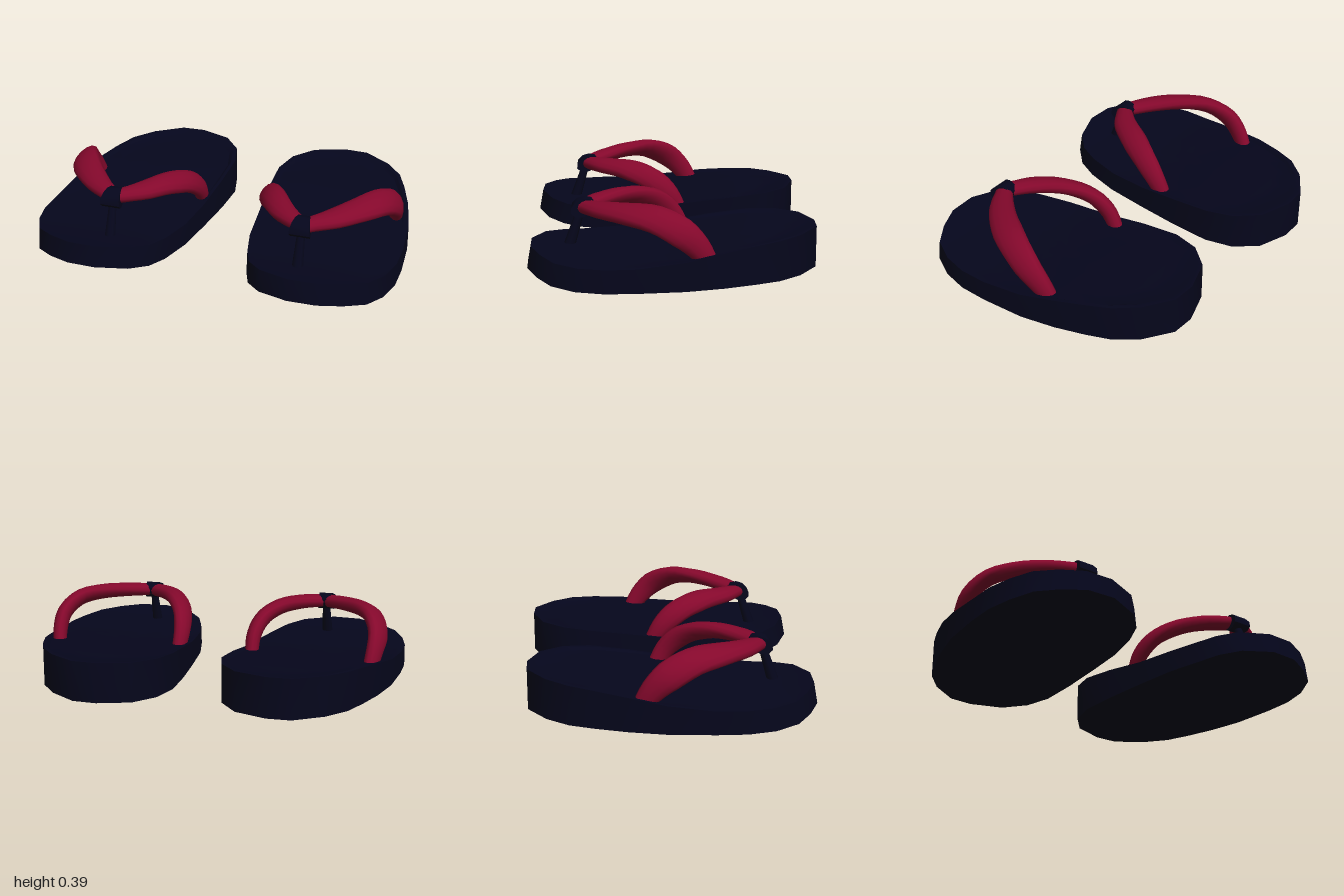
import * as THREE from 'three';
import { toCreasedNormals } from 'three/addons/utils/BufferGeometryUtils.js';

const V = (x, y, z) => new THREE.Vector3(x, y, z);

// Skin a list of closed rings (arrays of Vector3) into one surface
function loft(rings) {
  const n = rings[0].length, pos = [], idx = [];
  rings.forEach(r => r.forEach(p => pos.push(p.x, p.y, p.z)));
  for (let i = 0; i < rings.length - 1; i++) {
    for (let j = 0; j < n; j++) {
      const k = (j + 1) % n;
      const a = i * n + j, b = i * n + k, c = a + n, d = b + n;
      idx.push(a, b, c, b, d, c);
    }
  }
  const g = new THREE.BufferGeometry();
  g.setAttribute('position', new THREE.Float32BufferAttribute(pos, 3));
  g.setIndex(idx);
  g.computeVertexNormals();
  return g;
}

// Mirror across x = 0, restoring the corner order
function mirrored(geometry) {
  const g = geometry.index ? geometry.toNonIndexed() : geometry.clone();
  g.scale(-1, 1, 1);
  for (const name of ['position', 'normal']) {
    const a = g.attributes[name].array;
    for (let i = 0; i < a.length; i += 9) {
      for (let k = 3; k < 6; k++) [a[i + k], a[i + k + 3]] = [a[i + k + 3], a[i + k]];
    }
  }
  return g;
}

// Piecewise linear lookup in [position, value] pairs
function lookup(table, z) {
  if (z <= table[0][0]) return table[0][1];
  for (let i = 1; i < table.length; i++) {
    const [z0, v0] = table[i - 1], [z1, v1] = table[i];
    if (z <= z1) return v0 + (v1 - v0) * (z - z0) / (z1 - z0);
  }
  return table[table.length - 1][1];
}

// Sole outline seen from above, as [x, z]
const OUTLINE = [
  [0.58, -0.745], [0.45, -0.75], [0.275, -0.69], [0.175, -0.57], [0.135, -0.42], [0.14, -0.2],
  [0.16, 0.05], [0.185, 0.29], [0.23, 0.475], [0.275, 0.59], [0.36, 0.68], [0.527, 0.745],
  [0.68, 0.74], [0.805, 0.685], [0.91, 0.61], [0.97, 0.49], [1, 0.35], [1, 0.19],
  [0.98, -0.05], [0.935, -0.24], [0.88, -0.4], [0.825, -0.53], [0.73, -0.645],
];
const TOP = [[-0.75, 0.217], [-0.5, 0.207], [-0.3, 0.188], [-0.15, 0.165], [0, 0.14],
  [0.2, 0.122], [0.45, 0.12], [0.58, 0.13], [0.73, 0.155]];
const topY = z => lookup(TOP, z);
const bottomY = z => 0.042 * Math.max(0, (z - 0.4) / 0.35) ** 2;

function soleGeometry() {
  const ring = (scale, height, toe = 1) => OUTLINE.map(([x, z]) => {
    const zz = z * scale * (z > 0 ? toe : 1);
    return V(0.56 + (x - 0.56) * scale, height(zz), zz);
  });
  // footbed dips inside a low rim toward the heel
  const bed = z => topY(z) - 0.014 * THREE.MathUtils.clamp((0.1 - z) / 0.4, 0, 1);
  const rings = [0, 0.4, 0.7, 0.85, 1].map(s => ring(s, bottomY));
  rings.push(ring(1, topY, 0.972), ring(0.955, topY, 0.972));
  [0.92, 0.75, 0.55, 0.35, 0.15, 0].forEach(s => rings.push(ring(s, bed)));
  return toCreasedNormals(loft(rings), 0.6);
}

// Padded strap: oval section along a curve, its front edge rolling down toward the sole
function strapGeometry(points, widths, widthStart, widthEnd) {
  const curve = new THREE.CatmullRomCurve3(points.map(p => V(...p)));
  const steps = 18, sides = 12, rings = [];
  for (let i = 0; i <= steps; i++) {
    const t = i / steps;
    const c = curve.getPoint(t), T = curve.getTangent(t);
    const W = widthStart.clone().lerp(widthEnd, t);
    W.addScaledVector(T, -W.dot(T)).normalize();
    const N = T.clone().cross(W);
    const w = lookup(widths, t), h = 0.036 + 0.008 * Math.sin(Math.PI * t);
    rings.push(Array.from({ length: sides }, (_, j) => {
      const a = j / sides * Math.PI * 2;
      return c.clone().addScaledVector(W, w * Math.cos(a)).addScaledVector(N, h * Math.sin(a));
    }));
  }
  return loft(rings);
}

// Knot wrapping the strap junction, narrower toward the heel
function knotGeometry() {
  const g = new THREE.CylinderGeometry(0.045, 0.045, 0.1, 10);
  g.rotateZ(Math.PI / 2);
  const p = g.attributes.position;
  for (let i = 0; i < p.count; i++) {
    const z = p.getZ(i) * 1.45;
    p.setXYZ(i, p.getX(i) * (0.85 + z * 4), p.getY(i), z);
  }
  g.rotateX(0.35);
  g.translate(0.523, 0.318, 0.457);
  return toCreasedNormals(g, 0.8);
}

// Toe post leaning forward from the knot into the sole
function postGeometry() {
  const a = V(0.523, 0.31, 0.467), b = V(0.523, 0.1, 0.535);
  const g = new THREE.CylinderGeometry(0.02, 0.031, a.distanceTo(b), 8);
  const up = a.clone().sub(b).normalize();
  g.applyQuaternion(new THREE.Quaternion().setFromUnitVectors(V(0, 1, 0), up));
  const m = a.add(b).multiplyScalar(0.5);
  g.translate(m.x, m.y, m.z);
  return g;
}

export function createModel() {
  const navy = new THREE.MeshStandardMaterial({ name: 'navy rubber', color: 0x05061c });
  const red = new THREE.MeshStandardMaterial({ name: 'crimson strap', color: 0x85082c });

  const outer = strapGeometry(
    [[0.53, 0.32, 0.455], [0.66, 0.333, 0.355], [0.775, 0.343, 0.225], [0.855, 0.333, 0.09],
      [0.897, 0.275, -0.035], [0.893, 0.2, -0.115], [0.875, 0.1, -0.18]],
    [[0, 0.045], [0.18, 0.07], [0.4, 0.082], [0.65, 0.08], [0.85, 0.062], [1, 0.045]],
    V(0.8, 0, 0.6), V(0.15, -0.9, 0.6));
  const inner = strapGeometry(
    [[0.515, 0.32, 0.455], [0.395, 0.328, 0.355], [0.3, 0.325, 0.22], [0.233, 0.285, 0.09],
      [0.207, 0.21, -0.005], [0.21, 0.11, -0.07]],
    [[0, 0.045], [0.2, 0.066], [0.45, 0.072], [0.7, 0.066], [1, 0.045]],
    V(-0.8, 0, 0.6), V(-0.15, -0.9, 0.6));

  const parts = [
    ['sole', soleGeometry(), navy],
    ['outerStrap', outer, red],
    ['innerStrap', inner, red],
    ['strapKnot', knotGeometry(), navy],
    ['toePost', postGeometry(), navy],
  ];

  const model = new THREE.Group();
  model.name = 'sandals';
  for (const side of ['left', 'right']) {
    const sandal = new THREE.Group();
    sandal.name = side + 'Sandal';
    for (const [name, geometry, material] of parts) {
      const mesh = new THREE.Mesh(side === 'left' ? geometry : mirrored(geometry), material);
      mesh.name = name;
      sandal.add(mesh);
    }
    model.add(sandal);
  }
  return model;
}
